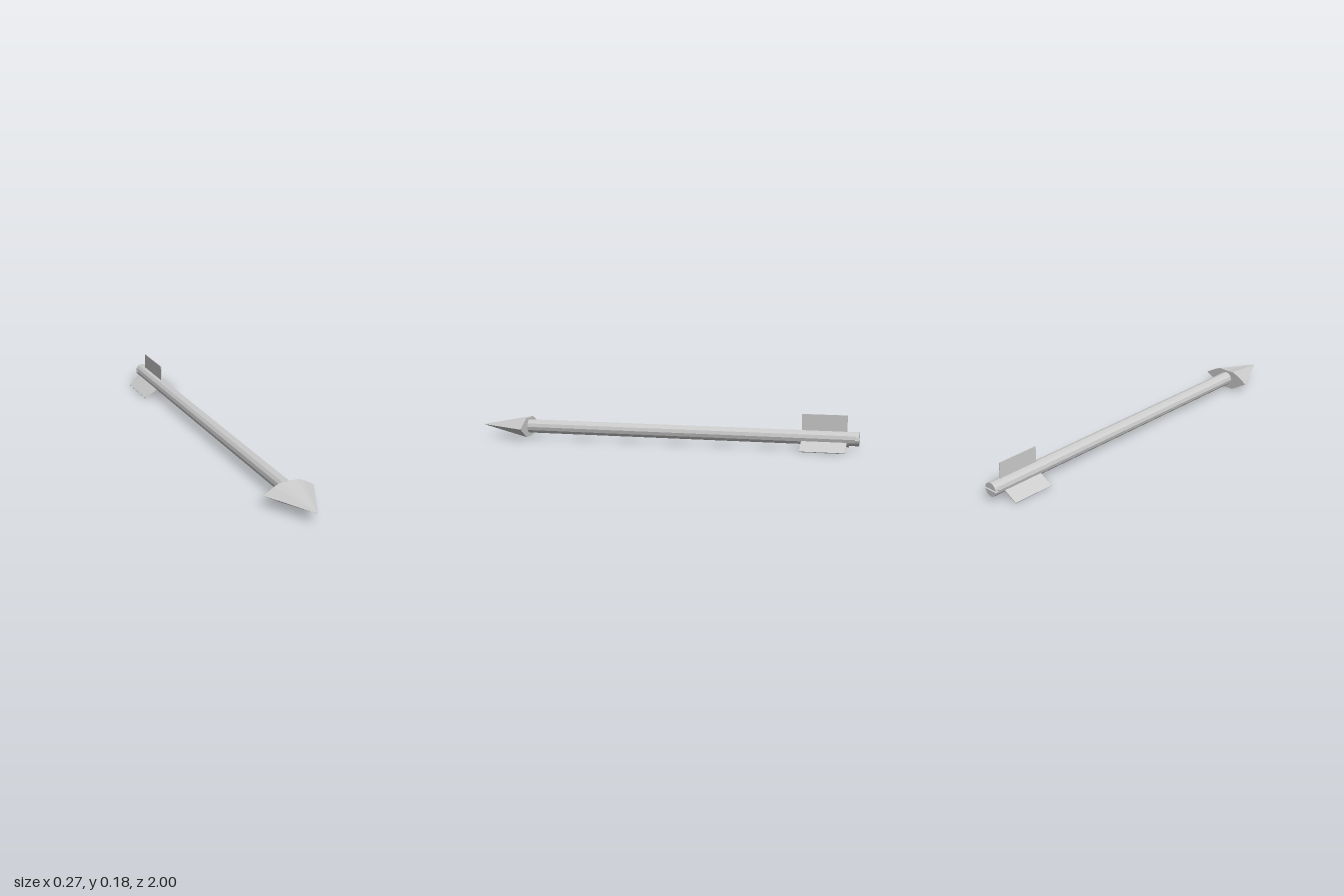
import * as THREE from 'three';

const R = 0.0355;        // shaft radius
const AXIS_Y = 0.06;     // height of the shaft axis

export function createModel() {
  const group = new THREE.Group();
  group.name = 'arrow';
  const mat = new THREE.MeshStandardMaterial({ color: 0xcccccc, flatShading: true });
  const add = (geometry, name, parent = group) => {
    const mesh = new THREE.Mesh(geometry, mat);
    mesh.name = name;
    parent.add(mesh);
    return mesh;
  };

  // Shaft, along z, ending where the nock slot begins
  const back = -0.98, front = 0.74;
  const shaft = add(new THREE.CylinderGeometry(R, R, front - back, 12), 'shaft');
  shaft.rotation.x = Math.PI / 2;
  shaft.position.set(0, AXIS_Y, (front + back) / 2);

  // Nock: two prongs with a thin horizontal slot between them
  const a = Math.asin(0.004 / R);
  const half = new THREE.Shape();
  half.absarc(0, 0, R, a, Math.PI - a, false);
  for (const side of [0, 1]) {
    const prong = add(new THREE.ExtrudeGeometry(half, { depth: 0.02, bevelEnabled: false, curveSegments: 6 }), 'nockProng');
    prong.rotation.z = side * Math.PI;
    prong.position.set(0, AXIS_Y, -1);
  }

  // Three thin vanes spaced evenly around the axis
  const reach = 0.1165;
  for (let i = 0; i < 3; i++) {
    const pivot = new THREE.Group();
    pivot.name = 'vanePivot';
    pivot.position.set(0, AXIS_Y, -0.827);
    pivot.rotation.z = (i * Math.PI * 2) / 3;
    const vane = add(new THREE.BoxGeometry(0.004, reach, 0.226), 'vane', pivot);
    vane.position.y = reach / 2;
    group.add(pivot);
  }

  // Broad faceted head: a fan from the tip to the rear outline, closed behind
  const rim = [
    [0.135, 0], [0.075, 0.035], [0.045, 0.047], [0, 0.045], [-0.045, 0.047],
    [-0.075, 0.035], [-0.135, 0], [-0.045, -0.054], [0.045, -0.054],
  ];
  const rear = 0.737, verts = [];
  rim.forEach((p, i) => {
    const q = rim[(i + 1) % rim.length];
    verts.push(0, 0, 1, ...p, rear, ...q, rear);
    verts.push(0, 0, rear, ...q, rear, ...p, rear);
  });
  const headGeo = new THREE.BufferGeometry();
  headGeo.setAttribute('position', new THREE.Float32BufferAttribute(verts, 3));
  headGeo.computeVertexNormals();
  add(headGeo, 'arrowhead').position.y = AXIS_Y;

  return group;
}
